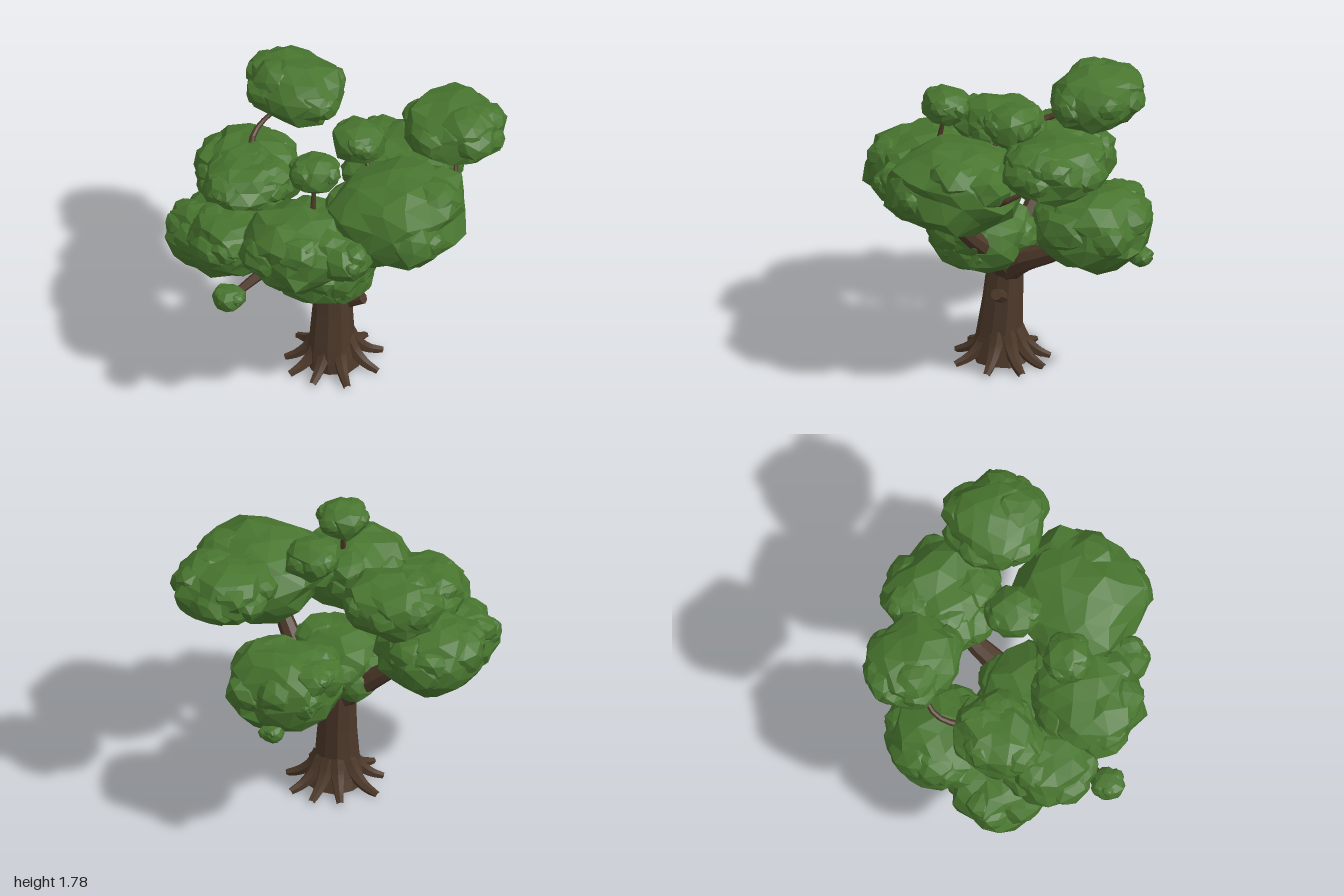
import * as THREE from 'three';
import { mergeGeometries } from 'three/addons/utils/BufferGeometryUtils.js';

const leaf = new THREE.MeshStandardMaterial({ name: 'leaf green', color: 0x48752f, flatShading: true });
const bark = new THREE.MeshStandardMaterial({ name: 'bark brown', color: 0x4c3829, flatShading: true });

function seeded(seed) {
  let s = seed * 7919 + 17;
  return () => ((s = (s * 16807) % 2147483647) / 2147483647);
}

// Faceted, slightly boxy ellipsoid; shared corners move together.
function blob(c, r, detail, rand) {
  const g = new THREE.IcosahedronGeometry(1, detail);
  g.rotateX(rand() * 6).rotateY(rand() * 6);
  const p = g.attributes.position, v = new THREE.Vector3(), moved = new Map(), e = 2.5;
  for (let i = 0; i < p.count; i++) {
    v.fromBufferAttribute(p, i);
    const key = [v.x, v.y, v.z].map(n => Math.round(n * 1000)).join();
    if (!moved.has(key)) {
      const k = (Math.abs(v.x) ** e + Math.abs(v.y) ** e + Math.abs(v.z) ** e) ** (-1 / e);
      const j = () => (rand() - 0.5) * 0.18;
      moved.set(key, new THREE.Vector3(v.x * k + j(), v.y * k + j(), v.z * k + j()).multiplyScalar(0.95));
    }
    v.copy(moved.get(key));
    p.setXYZ(i, c[0] + v.x * r[0], c[1] + v.y * r[1], c[2] + v.z * r[2]);
  }
  return g;
}

// A large blob with smaller lumps sunk into its upper half; the widest crown stays plainer.
function leafCluster(name, c, r, seed) {
  const rand = seeded(seed), big = r[0] > 0.2, parts = [blob(c, r, big ? 2 : 1, rand)];
  const lumps = r[0] > 0.38 ? 3 : big ? 9 : 5;
  for (let i = 0; i < lumps; i++) {
    const a = (i + rand() * 0.8) * 2.4, up = -0.15 + rand() * 0.85, s = 0.32 + rand() * 0.24;
    const flat = Math.sqrt(1 - up * up), out = 1.03 - s * 0.8;
    const at = [c[0] + Math.cos(a) * flat * r[0] * out, c[1] + up * r[1] * out, c[2] + Math.sin(a) * flat * r[2] * out];
    parts.push(blob(at, [r[0] * s, r[1] * s * 1.1, r[2] * s], 1, rand));
  }
  const mesh = new THREE.Mesh(mergeGeometries(parts), leaf);
  mesh.name = name;
  return mesh;
}

// Tube through a few points, tapering to 0.4 of its starting radius.
function limb(name, points, radius, sides = 8) {
  const curve = new THREE.CatmullRomCurve3(points.map(q => new THREE.Vector3(...q)));
  const steps = points.length * 3, g = new THREE.TubeGeometry(curve, steps, 1, sides, false);
  const p = g.attributes.position, v = new THREE.Vector3();
  for (let i = 0; i < p.count; i++) {
    const t = Math.floor(i / (sides + 1)) / steps, o = curve.getPointAt(t);
    v.fromBufferAttribute(p, i).sub(o).multiplyScalar(radius * (1 - 0.6 * t)).add(o);
    p.setXYZ(i, v.x, Math.max(v.y, 0), v.z);
  }
  const mesh = new THREE.Mesh(g, bark);
  mesh.name = name;
  return mesh;
}

// Trunk lofted from ten-sided rings.
function trunk() {
  const n = 10, pos = [], idx = [];
  // height, radius, centre x, centre z
  const rings = [
    [0.01, 0.175, -0.01, 0.03], [0.08, 0.16, -0.025, 0.03], [0.17, 0.14, -0.033, 0.03],
    [0.4, 0.122, -0.015, 0.02], [0.66, 0.108, -0.002, 0.005], [0.74, 0.06, 0, 0],
  ];
  rings.forEach(([y, r, cx, cz]) => {
    for (let i = 0; i < n; i++) {
      const a = (i / n) * Math.PI * 2 + 0.1, k = i % 2 ? 1.03 : 0.97;
      pos.push(cx + Math.cos(a) * r * k, y, cz + Math.sin(a) * r * k);
    }
  });
  for (let k = 0; k < rings.length - 1; k++)
    for (let i = 0; i < n; i++) {
      const a = k * n + i, b = k * n + (i + 1) % n;
      idx.push(a, a + n, b, b, a + n, b + n);
    }
  // bottom and top caps
  const top = (rings.length - 1) * n, mid = pos.length / 3;
  pos.push(0, 0.03, 0.03, 0, 0.75, 0);
  for (let i = 0; i < n; i++) {
    const j = (i + 1) % n;
    idx.push(mid, i, j, mid + 1, top + j, top + i);
  }
  const g = new THREE.BufferGeometry();
  g.setAttribute('position', new THREE.Float32BufferAttribute(pos, 3));
  g.setIndex(idx);
  g.computeVertexNormals();
  const mesh = new THREE.Mesh(g, bark);
  mesh.name = 'trunk';
  return mesh;
}

export function createModel() {
  const tree = new THREE.Group();
  tree.name = 'tree';
  tree.add(trunk());

  // Roots fanning out from the foot of the trunk
  for (let i = 0; i < 9; i++) {
    const a = (i / 9) * Math.PI * 2 + 0.12 * Math.sin(i * 5), reach = 0.3 + 0.015 * Math.sin(i * 3);
    const at = (d, y) => [-0.01 + Math.cos(a) * d, y, 0.03 + Math.sin(a) * d];
    tree.add(limb('root', [at(0.08, 0.2), at(0.135, 0.11), at(0.21, 0.045), at(reach, 0.008)], 0.055, 6));
  }

  // Main limbs and twigs: name, path, radius
  const limbs = [
    ['leftLimb', [[0.02, 0.6, 0.03], [0.15, 0.7, 0.05], [0.38, 0.81, 0.02], [0.6, 1, 0.02]], 0.09],
    ['frontLimb', [[0.01, 0.6, 0.02], [0.03, 0.77, 0.2], [-0.08, 1.04, 0.43], [-0.07, 1.3, 0.52]], 0.085],
    ['backLimb', [[0, 0.6, 0], [0, 0.77, -0.19], [-0.02, 0.94, -0.4], [-0.03, 1.12, -0.6]], 0.085],
    ['rightLimb', [[-0.03, 0.6, 0], [-0.16, 0.84, 0], [-0.42, 0.94, -0.04], [-0.86, 0.93, -0.05]], 0.06],
    ['backRightLimb', [[-0.12, 0.8, 0], [-0.25, 0.9, -0.2], [-0.42, 1, -0.45]], 0.05],
    ['upperRightLimb', [[-0.25, 0.9, 0], [-0.42, 1.05, 0.1], [-0.45, 1.25, 0.15]], 0.045],
    ['upperBackLimb', [[-0.02, 0.9, -0.36], [-0.15, 1.15, -0.42], [-0.25, 1.3, -0.45]], 0.045],
    ['sideTwig', [[-0.36, 0.94, -0.04], [-0.45, 0.9, -0.06], [-0.53, 0.93, -0.12]], 0.03],
    ['topLeftTwig', [[0.15, 1.25, 0.55], [0.39, 1.37, 0.62], [0.58, 1.5, 0.5]], 0.026],
    ['topBackTwig', [[-0.2, 1.28, -0.46], [0.02, 1.38, -0.61], [0.25, 1.52, -0.55]], 0.026],
    ['topRightTwig', [[-0.39, 1.3, 0.18], [-0.33, 1.62, 0.15]], 0.022],
    ['topMiddleTwig', [[0, 1.35, 0.38], [0.11, 1.6, 0.14]], 0.022],
  ];
  limbs.forEach(l => tree.add(limb(...l)));

  // Cut stub on the trunk
  const stub = new THREE.Mesh(new THREE.CylinderGeometry(0.036, 0.042, 0.16, 8), bark);
  stub.name = 'cutStub';
  stub.position.set(0.045, 0.465, 0.135);
  stub.quaternion.setFromUnitVectors(new THREE.Vector3(0, 1, 0), new THREE.Vector3(0.2, 0.5, 0.85).normalize());
  tree.add(stub);

  // Foliage: name, centre, radii
  const clusters = [
    ['frontCrown', [-0.01, 1.35, 0.54], [0.4, 0.265, 0.4]],
    ['frontCrownBulge', [-0.15, 1.34, 0.76], [0.2, 0.17, 0.18]],
    ['topLeftCrown', [0.62, 1.585, 0.45], [0.295, 0.185, 0.3]],
    ['topBackCrown', [0.31, 1.59, -0.53], [0.265, 0.185, 0.3]],
    ['topRightTuft', [-0.33, 1.64, 0.15], [0.15, 0.11, 0.15]],
    ['topMiddleTuft', [0.115, 1.61, 0.12], [0.155, 0.125, 0.165]],
    ['leftCrown', [0.63, 1.03, 0.02], [0.345, 0.25, 0.35]],
    ['rightCrown', [-0.5, 1.2, 0.16], [0.33, 0.24, 0.32]],
    ['rightFrontTuft', [-0.45, 1.22, 0.48], [0.16, 0.13, 0.16]],
    ['lowCrown', [-0.13, 0.82, 0.06], [0.32, 0.21, 0.3]],
    ['lowBackTuft', [-0.04, 0.75, -0.1], [0.19, 0.12, 0.14]],
    ['lowFrontTuft', [-0.14, 0.76, 0.22], [0.19, 0.13, 0.14]],
    ['backCrown', [-0.02, 1.1, -0.62], [0.31, 0.23, 0.31]],
    ['backRightLowCrown', [-0.44, 0.94, -0.49], [0.29, 0.2, 0.33]],
    ['backRightCrown', [-0.61, 1.12, -0.25], [0.26, 0.17, 0.28]],
    ['backRightHighCrown', [-0.31, 1.29, -0.41], [0.28, 0.165, 0.25]],
    ['farRightTuft', [-0.89, 0.935, -0.05], [0.105, 0.07, 0.1]],
    ['leftSideTuft', [0.93, 0.88, -0.05], [0.07, 0.06, 0.08]],
    ['leftTopTuft', [0.7, 1.17, -0.19], [0.14, 0.09, 0.13]],
  ];
  clusters.forEach((c, i) => tree.add(leafCluster(...c, i + 3)));
  return tree;
}
